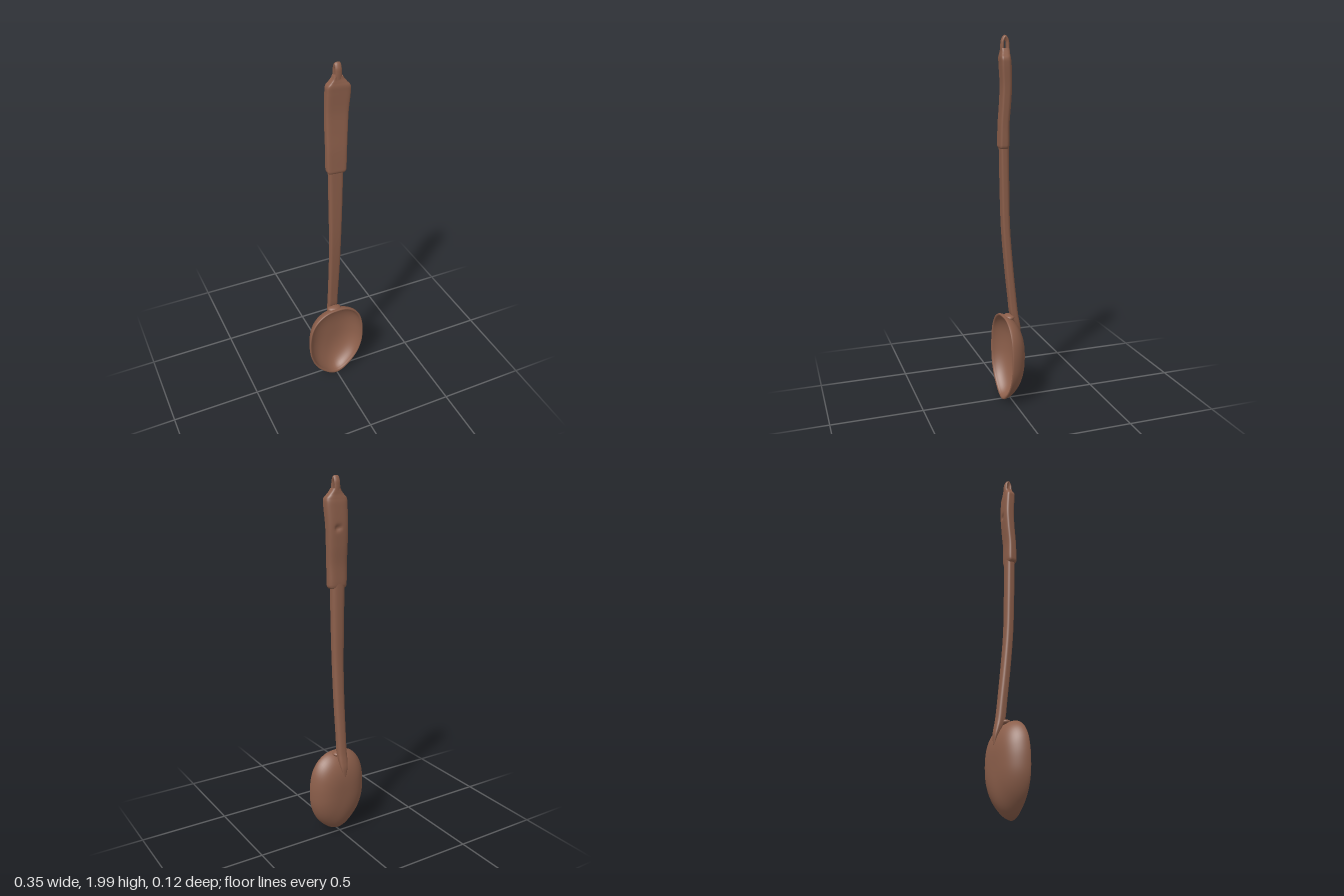
import * as THREE from 'three';

const V = (x, y, z) => new THREE.Vector3(x, y, z);
const brown = new THREE.MeshStandardMaterial({ color: 0x8b5e4a });
brown.name = 'warm brown';

function geometryFrom(positions, index) {
  const g = new THREE.BufferGeometry();
  g.setAttribute('position', new THREE.Float32BufferAttribute(positions, 3));
  g.setIndex(index);
  g.computeVertexNormals();
  return g;
}

// Smooth loft up the y axis. Rows: [y, centre x, centre z, half width, half depth, skew].
// The section has a flat, sharp-cornered front and a rounder back.
function loft(rows, steps, sides, frontPower, backPower, dent) {
  const centre = new THREE.CatmullRomCurve3(rows.map(r => V(r[1], r[0], r[2])));
  const size = new THREE.CatmullRomCurve3(rows.map(r => V(r[3], r[4], r[5])));
  centre.curveType = size.curveType = 'catmullrom';
  const pos = [], index = [];
  for (let i = 0; i <= steps; i++) {
    const c = centre.getPoint(i / steps), s = size.getPoint(i / steps);
    for (let j = 0; j < sides; j++) {
      const a = (j / sides) * Math.PI * 2, cx = Math.cos(a), sz = Math.sin(a);
      const p = 2 / (sz > 0 ? frontPower : backPower);
      const x = Math.sign(cx) * Math.abs(cx) ** p * s.x;
      let z = Math.sign(sz) * Math.abs(sz) ** p * s.y + s.z * x;
      if (dent && sz < 0) z += dent(x, c.y);
      pos.push(c.x + x, c.y, c.z + z);
      if (i < steps) {
        const k = i * sides + j, n = i * sides + (j + 1) % sides;
        index.push(k, k + sides, n, n, k + sides, n + sides);
      }
    }
  }
  // flat end caps with their own vertices
  for (const end of [0, 1]) {
    const start = pos.length / 3, from = end * steps * sides, c = centre.getPoint(end);
    for (let j = 0; j < sides; j++) pos.push(...pos.slice((from + j) * 3, (from + j) * 3 + 3));
    pos.push(c.x, c.y, c.z);
    for (let j = 0; j < sides; j++) {
      const k = start + j, n = start + (j + 1) % sides;
      index.push(start + sides, ...(end ? [n, k] : [k, n]));
    }
  }
  return geometryFrom(pos, index);
}

// Egg-shaped spoon bowl: rings run from the outer pole over the rim to the inner pole.
function bowlGeometry() {
  const half = [[0.05, 0.498], [0.092, 0.48], [0.127, 0.45], [0.156, 0.4], [0.171, 0.33], [0.173, 0.26],
    [0.167, 0.2], [0.15, 0.145], [0.122, 0.095], [0.075, 0.045], [0.035, 0.017]];
  const pts = [[0, 0.502], ...half, [0, 0.008], ...half.map(([x, y]) => [-x, y]).reverse()];
  const outline = new THREE.CatmullRomCurve3(pts.map(([x, y]) => V(x, y, 0)), true).getSpacedPoints(72).slice(0, 72).reverse();
  const depth = s => (1 - s ** 3) ** 0.6;
  const rings = [];
  const count = 18;
  for (let i = 0; i <= count; i++) {
    const s = Math.sin((i / count) * Math.PI / 2);
    rings.push([s, -0.104 * depth(Math.min(s, 1))]);
  }
  rings.push([0.995, 0.004], [0.975, 0.006], [0.95, 0.003]);
  for (let i = count; i >= 0; i--) {
    const s = Math.sin((i / count) * Math.PI / 2);
    rings.push([s * 0.94, -0.092 * depth(Math.min(s, 1))]);
  }
  const pos = [], index = [], n = outline.length, cy = 0.27;
  rings.forEach(([s, z], i) => outline.forEach((p, j) => {
    const scale = Math.max(s, 0.002), x = p.x * scale, y = cy + (p.y - cy) * scale;
    pos.push(x, y, 0.043 + z - 0.04 * x - 0.015 * (y - cy));
    if (i < rings.length - 1) {
      const k = i * n + j, m = i * n + (j + 1) % n;
      index.push(k, m, k + n, m, m + n, k + n);
    }
  }));
  return geometryFrom(pos, index);
}

export function createModel() {
  const model = new THREE.Group();
  model.name = 'spoon';
  const add = (name, geometry) => {
    const mesh = new THREE.Mesh(geometry, brown);
    mesh.name = name;
    model.add(mesh);
    return mesh;
  };

  add('bowl', bowlGeometry());

  // slender shaft, curving back to join behind the bowl
  add('shaft', loft([
    [0.37, 0, -0.056, 0.006, 0.003, 0],
    [0.42, 0, -0.05, 0.019, 0.01, 0],
    [0.46, 0, -0.038, 0.025, 0.016, 0],
    [0.51, 0, -0.023, 0.027, 0.022, 0],
    [0.6, -0.001, -0.013, 0.027, 0.022, 0],
    [0.8, -0.002, 0.007, 0.029, 0.022, 0],
    [1.0, -0.004, 0.022, 0.031, 0.022, 0.02],
    [1.2, -0.005, 0.027, 0.034, 0.023, 0.05],
    [1.45, -0.006, 0.03, 0.037, 0.024, 0.08],
  ], 64, 40, 5, 2.5));

  // small flared neck where the shaft meets the top of the rim
  const neck = add('neck', new THREE.SphereGeometry(1, 24, 16));
  neck.scale.set(0.04, 0.016, 0.03);
  neck.position.set(0, 0.492, 0.005);

  // grip with a wavy side profile, tapering shoulders and a thumb dimple on its back
  const dimple = (x, y) => 0.012 * Math.exp(-(((x - 0.008) / 0.014) ** 2) - ((y - 1.74) / 0.014) ** 2);
  add('grip', loft([
    [1.425, -0.005, 0.034, 0.042, 0.022, 0.08],
    [1.436, -0.005, 0.034, 0.049, 0.026, 0.08],
    [1.46, -0.005, 0.033, 0.051, 0.027, 0.09],
    [1.55, -0.004, 0.032, 0.052, 0.026, 0.1],
    [1.65, -0.001, 0.025, 0.054, 0.027, 0.12],
    [1.75, 0.002, 0.021, 0.056, 0.028, 0.13],
    [1.85, 0.006, 0.026, 0.059, 0.029, 0.13],
    [1.885, 0.006, 0.029, 0.057, 0.028, 0.13],
    [1.905, 0.006, 0.029, 0.042, 0.025, 0.1],
    [1.92, 0.006, 0.028, 0.03, 0.023, 0.05],
    [1.935, 0.005, 0.028, 0.022, 0.022, 0],
  ], 120, 56, 6, 3, dimple));

  // hanging loop, its eye opening sideways
  const arch = new THREE.CatmullRomCurve3([[0.0435, 1.92], [0.043, 1.95], [0.04, 1.973], [0.0285, 1.991],
    [0.017, 1.973], [0.014, 1.95], [0.0135, 1.92]].map(([z, y]) => V(0, y, z)));
  const loop = add('hangingLoop', new THREE.TubeGeometry(arch, 36, 0.0085, 14));
  loop.scale.x = 2;
  loop.position.x = 0.005;

  return model;
}
